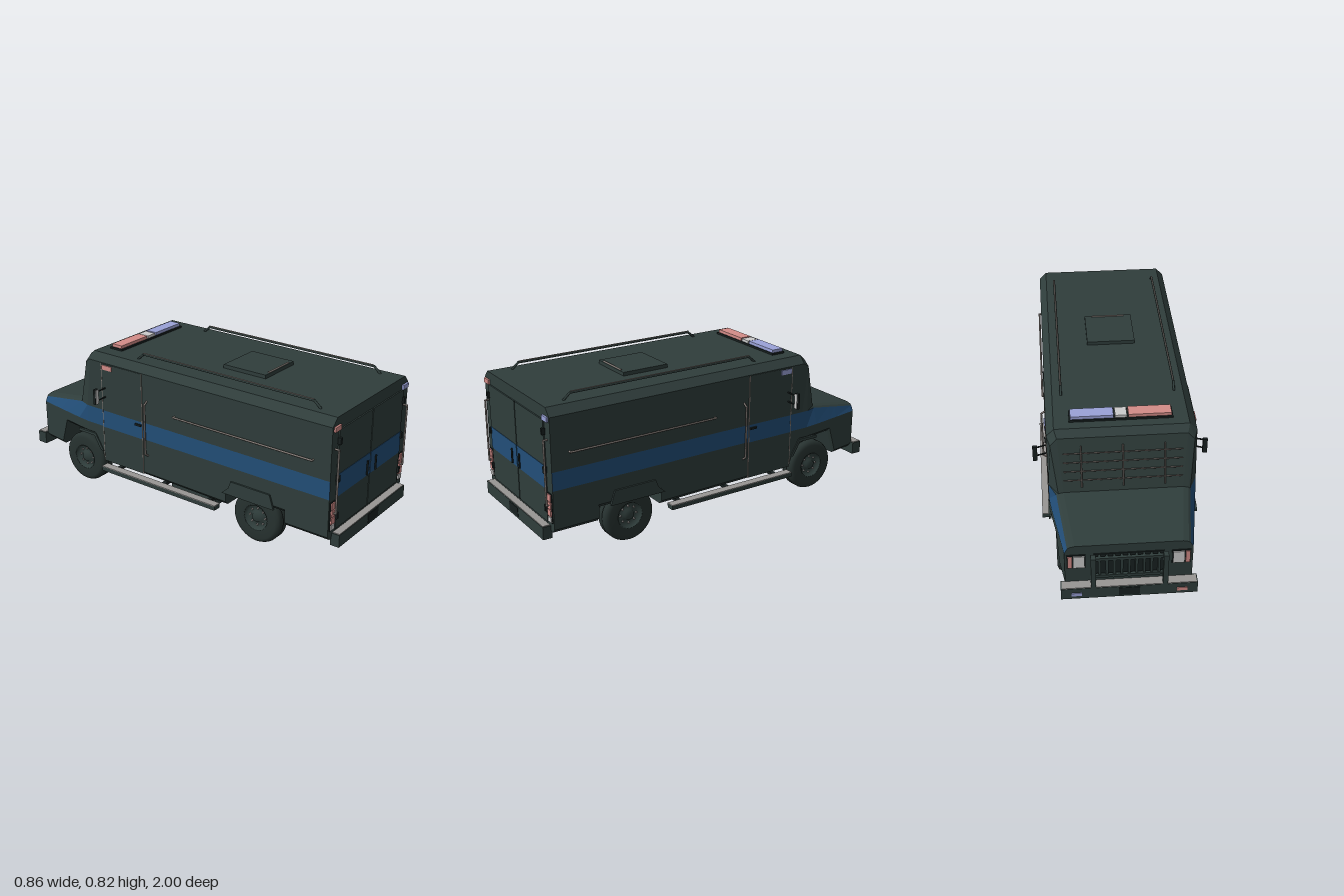
import * as THREE from 'three';

const mat = (name, color, extra = {}) => Object.assign(new THREE.MeshStandardMaterial({ color, ...extra }), { name });

export function createModel() {
  const root = new THREE.Group();
  const green = mat('dark green paint', 0x2f3d3b);
  const blue = mat('blue stripe', 0x224e78);
  const trim = mat('black trim', 0x182020);
  const rubber = mat('tyre rubber', 0x273230);
  const steel = mat('steel', 0x989694);
  const rail = mat('warm grey rails', 0x857d78);
  const pale = mat('pale lens', 0xcccccc);
  const red = mat('red lens', 0xd38c88);
  const violet = mat('blue lens', 0x9aa2d8);

  const add = (name, geo, material, x = 0, y = 0, z = 0) => {
    const m = new THREE.Mesh(geo, material);
    m.name = name;
    m.position.set(x, y, z);
    root.add(m);
    return m;
  };
  // box given by its extents
  const box = (name, material, x0, x1, y0, y1, z0, z1) =>
    add(name, new THREE.BoxGeometry(Math.abs(x1 - x0), y1 - y0, Math.abs(z1 - z0)), material,
      (x0 + x1) / 2, (y0 + y1) / 2, (z0 + z1) / 2);
  const sides = (fn) => [1, -1].forEach(fn);
  // round bar through a list of points
  const bar = (name, material, r, pts) => {
    for (let i = 1; i < pts.length; i++) {
      const a = new THREE.Vector3(...pts[i - 1]), b = new THREE.Vector3(...pts[i]);
      const d = b.clone().sub(a);
      const m = add(name, new THREE.CylinderGeometry(r, r, d.length() + r, 8), material);
      m.position.copy(a).addScaledVector(d, 0.5);
      m.quaternion.setFromUnitVectors(new THREE.Vector3(0, 1, 0), d.normalize());
    }
  };

  // Body shell: half cross-sections from rear to nose; the belt band is painted blue
  const main = (z, yb) => [[0.342, yb, z], [0.361, yb + 0.02, z], [0.361, 0.382, z],
    [0.361, 0.476, z], [0.361, 0.745, z], [0.324, 0.784, z]];
  const nose = (z, yb) => {
    const t = (z + 0.635) / -0.31, w = 0.352 - 0.05 * t;
    return [[w - 0.02, yb, z], [w, yb + 0.02, z], [w, 0.382, z],
      [0.325 - 0.037 * t, 0.468 - 0.058 * t, z], [0.315 - 0.037 * t, 0.476 - 0.058 * t, z],
      [0.29 - 0.037 * t, 0.482 - 0.058 * t, z]];
  };
  const pillar = main(-0.56, 0.31);
  pillar[4] = [0.345, 0.72, -0.568];
  pillar[5] = [0.312, 0.755, -0.562];
  const rings = [main(0.955, 0.165), main(0.715, 0.165), main(0.715, 0.235), main(0.365, 0.235),
    main(0.365, 0.165), main(-0.45, 0.175), main(-0.47, 0.235), main(-0.51, 0.31), main(-0.525, 0.31),
    pillar, nose(-0.635, 0.31), nose(-0.75, 0.31), nose(-0.80, 0.165), nose(-0.945, 0.165)]
    .map((h) => [...h, ...h.slice().reverse().map(([x, y, z]) => [-x, y, z])]);
  const paint = [[], []];
  const quad = (k, a, b, c, d) => paint[k].push(...a, ...b, ...c, ...a, ...c, ...d);
  for (let s = 0; s + 1 < rings.length; s++)
    for (let i = 0; i < 12; i++) {
      const j = (i + 1) % 12, A = rings[s], B = rings[s + 1];
      quad(i === 2 || i === 8 ? 1 : 0, A[i], B[i], B[j], A[j]);
    }
  const tail = rings[0], tip = rings[rings.length - 1];
  for (let i = 0; i < 5; i++) {
    quad(0, tail[i], tail[i + 1], tail[10 - i], tail[11 - i]);
    quad(0, tip[11 - i], tip[10 - i], tip[i + 1], tip[i]);
  }
  const shell = new THREE.BufferGeometry();
  shell.setAttribute('position', new THREE.Float32BufferAttribute(paint.flat(), 3));
  shell.addGroup(0, paint[0].length / 3, 0);
  shell.addGroup(paint[0].length / 3, paint[1].length / 3, 1);
  shell.computeVertexNormals();
  add('body', shell, [green, blue]);

  // Rear doors with stripe, seams, hinges and handles
  sides((s) => {
    box('rearDoor', green, s * 0.003, s * 0.306, 0.21, 0.72, 0.955, 0.962);
    box('rearStripe', blue, s * 0.003, s * 0.306, 0.38, 0.495, 0.962, 0.964);
    for (const y of [0.665, 0.475, 0.283]) box('hinge', trim, s * 0.298, s * 0.312, y - 0.016, y + 0.016, 0.955, 0.972);
    bar('rearHandle', trim, 0.005, [[s * 0.041, 0.393, 0.972], [s * 0.041, 0.463, 0.972]]);
    bar('rearGrabRail', rail, 0.005, [[s * 0.33, 0.305, 0.956], [s * 0.33, 0.305, 0.975], [s * 0.33, 0.63, 0.975], [s * 0.33, 0.63, 0.956]]);
    // tail lamps
    box('lampHousing', trim, s * 0.313, s * 0.353, 0.215, 0.365, 0.955, 0.959);
    for (const [y0, y1, m] of [[0.326, 0.36, red], [0.288, 0.321, red], [0.25, 0.283, red], [0.22, 0.244, pale]])
      box('tailLamp', m, s * 0.317, s * 0.349, y0, y1, 0.957, 0.965);
    const lens = s > 0 ? violet : red;
    box('rearMarkerLamp', lens, s * 0.298, s * 0.35, 0.72, 0.744, 0.955, 0.965);
    box('sideMarkerLamp', lens, s * 0.36, s * 0.369, 0.71, 0.735, -0.435, -0.37);
    box('bumperLamp', lens, s * 0.225, s * 0.275, 0.15, 0.168, -1, -0.992);
  });
  box('doorSeam', trim, -0.003, 0.003, 0.21, 0.72, 0.955, 0.958);

  // Bumpers with steel treads
  for (const [z0, z1, face] of [[0.95, 0.998, 1], [-0.94, -0.996, -1]]) {
    box('bumper', green, -0.325, 0.325, 0.13, 0.195, z0, z1);
    box('bumperTread', steel, -0.32, 0.32, 0.195, 0.199, z0 + face * 0.008, z1 - face * 0.002);
    box('blankPlate', trim, -0.05, 0.05, 0.14, 0.188, z1, z1 + face * 0.002);
  }

  // Nose: grille, brush guard and headlamps
  box('grille', trim, -0.165, 0.165, 0.23, 0.372, -0.945, -0.95);
  for (let i = 0; i < 9; i++) {
    const x = -0.14 + i * 0.035;
    box('grilleBar', green, x - 0.006, x + 0.006, 0.235, 0.368, -0.945, -0.972);
  }
  for (const y of [0.25, 0.36]) box('guardCrossbar', green, -0.175, 0.175, y - 0.008, y + 0.008, -0.962, -0.976);
  sides((s) => {
    box('guardPost', green, s * 0.158, s * 0.182, 0.195, 0.385, -0.966, -0.998);
    box('guardBracket', trim, s * 0.163, s * 0.177, 0.29, 0.32, -0.944, -0.97);
    box('headlampFrame', trim, s * 0.202, s * 0.293, 0.285, 0.37, -0.944, -0.949);
    box('headlamp', pale, s * 0.208, s * 0.262, 0.292, 0.363, -0.947, -0.955);
    box('turnLamp', red, s * 0.267, s * 0.288, 0.292, 0.363, -0.947, -0.954);
  });

  // Side fittings
  sides((s) => {
    box('cabDoor', green, s * 0.36, s * 0.364, 0.182, 0.38, -0.172, -0.442);
    box('cabDoorUpper', green, s * 0.36, s * 0.364, 0.476, 0.742, -0.172, -0.442);
    box('cabDoorStripe', blue, s * 0.36, s * 0.364, 0.38, 0.476, -0.172, -0.442);
    for (const z of [-0.17, -0.444]) box('cabDoorSeam', rail, s * 0.36, s * 0.365, 0.182, 0.742, z - 0.002, z + 0.002);
    box('doorLatch', trim, s * 0.36, s * 0.373, 0.452, 0.462, -0.215, -0.175);
    bar('sideGrabHandle', rail, 0.005, [[s * 0.361, 0.6, -0.138], [s * 0.382, 0.585, -0.138], [s * 0.382, 0.31, -0.138], [s * 0.361, 0.295, -0.138]]);
    bar('sideRail', rail, 0.005, [[s * 0.361, 0.562, 0.86], [s * 0.373, 0.562, 0.86], [s * 0.373, 0.562, 0.045], [s * 0.361, 0.562, 0.045]]);
    // mirror on two arms
    for (const y of [0.55, 0.6]) bar('mirrorArm', trim, 0.004, [[s * 0.36, y + 0.008, -0.42], [s * 0.42, y, -0.432]]);
    box('mirrorShell', trim, s * 0.408, s * 0.431, 0.53, 0.614, -0.445, -0.43);
    box('mirrorFace', pale, s * 0.41, s * 0.429, 0.533, 0.611, -0.43, -0.426);
    // running board
    box('runningBoard', green, s * 0.357, s * 0.4, 0.138, 0.16, 0.325, -0.435);
    box('runningBoardTread', steel, s * 0.357, s * 0.4, 0.16, 0.164, 0.325, -0.435);
    for (const z of [0.25, -0.05, -0.36]) box('boardBracket', trim, s * 0.1, s * 0.36, 0.142, 0.156, z - 0.012, z + 0.012);
    // flares above the wheels
    const flare = (pts, x) => {
      const g = new THREE.ExtrudeGeometry(new THREE.Shape(pts.map(([z, y]) => new THREE.Vector2(-z, y))), { depth: 0.012, bevelEnabled: false });
      g.rotateY(Math.PI / 2);
      add('wheelFlare', g, green, s > 0 ? x : -x - 0.012);
    };
    flare([[0.655, 0.235], [0.63, 0.31], [0.4, 0.31], [0.385, 0.27], [0.345, 0.235]], 0.358);
    flare([[-0.45, 0.235], [-0.505, 0.325], [-0.63, 0.325], [-0.63, 0.31], [-0.515, 0.31], [-0.47, 0.235]], 0.354);
    // roof rail
    bar('roofRail', green, 0.006, [[s * 0.28, 0.784, 0.84], [s * 0.28, 0.814, 0.805], [s * 0.28, 0.814, -0.22], [s * 0.28, 0.784, -0.255]]);
    bar('roofRailCap', rail, 0.003, [[s * 0.28, 0.82, 0.8], [s * 0.28, 0.82, -0.22]]);
  });

  // Roof hatch and light bar
  box('hatch', green, -0.125, 0.125, 0.782, 0.803, 0.175, 0.43);
  bar('hatchHandle', rail, 0.005, [[-0.085, 0.804, 0.422], [0.085, 0.804, 0.422]]);
  box('lightBarBase', trim, -0.25, 0.25, 0.784, 0.794, -0.477, -0.398);
  box('redBeacon', red, -0.243, -0.036, 0.794, 0.81, -0.47, -0.405);
  box('centreBeacon', pale, -0.028, 0.028, 0.794, 0.808, -0.47, -0.405);
  box('blueBeacon', violet, 0.036, 0.243, 0.794, 0.81, -0.47, -0.405);

  // Windscreen guard lattice
  const screen = (x, y) => [x, y, -0.583 - (0.72 - y) * 0.27];
  for (const y of [0.55, 0.595, 0.64, 0.685]) bar('screenGuard', rail, 0.003, [screen(-0.285, y), screen(0.285, y)]);
  for (const x of [-0.2, 0, 0.2]) bar('screenGuard', rail, 0.004, [screen(x, 0.515), screen(x, 0.72)]);

  // Wheels
  const P = (pts) => pts.map(([r, y]) => new THREE.Vector2(r, y));
  const tyre = new THREE.LatheGeometry(P([[0.07, -0.045], [0.115, -0.046], [0.132, -0.038], [0.138, -0.025], [0.138, -0.005],
    [0.133, -0.003], [0.133, 0.003], [0.138, 0.005], [0.138, 0.025], [0.132, 0.038], [0.115, 0.046], [0.07, 0.045]]), 36);
  const rim = new THREE.LatheGeometry(P([[0, -0.03], [0.074, -0.03], [0.074, 0.044], [0.066, 0.044], [0.06, 0.022],
    [0.03, 0.026], [0.026, 0.038], [0, 0.038]]), 28);
  for (const z of [0.53, -0.625]) {
    sides((s) => {
      const wheel = new THREE.Group();
      wheel.name = 'wheel';
      wheel.add(new THREE.Mesh(tyre, rubber), new THREE.Mesh(rim, green));
      const bolt = new THREE.CylinderGeometry(0.005, 0.005, 0.012, 8);
      for (let i = 0; i < 8; i++) {
        const b = new THREE.Mesh(bolt, steel), a = i * Math.PI / 4;
        b.position.set(0.045 * Math.cos(a), 0.026, 0.045 * Math.sin(a));
        wheel.add(b);
      }
      wheel.position.set(s * 0.289, 0.138, z);
      wheel.rotation.z = -s * Math.PI / 2;
      root.add(wheel);
    });
    bar('axle', trim, 0.016, [[-0.27, 0.138, z], [0.27, 0.138, z]]);
  }

  // Chassis, fuel tank and exhaust
  sides((s) => box('chassisRail', green, s * 0.135, s * 0.165, 0.128, 0.17, 0.95, -0.94));
  for (const z of [0.8, 0.3, -0.2, -0.8]) box('crossMember', green, -0.14, 0.14, 0.14, 0.166, z - 0.018, z + 0.018);
  add('differential', new THREE.SphereGeometry(0.04, 18, 12), green, 0, 0.14, 0.53);
  bar('driveShaft', trim, 0.011, [[0, 0.145, 0.5], [0, 0.15, -0.4]]);
  box('fuelTank', green, -0.245, -0.165, 0.062, 0.14, 0.215, -0.075);
  bar('exhaust', rail, 0.01, [[0.25, 0.126, 0.69], [0.25, 0.126, 0.82]]);
  return root;
}
